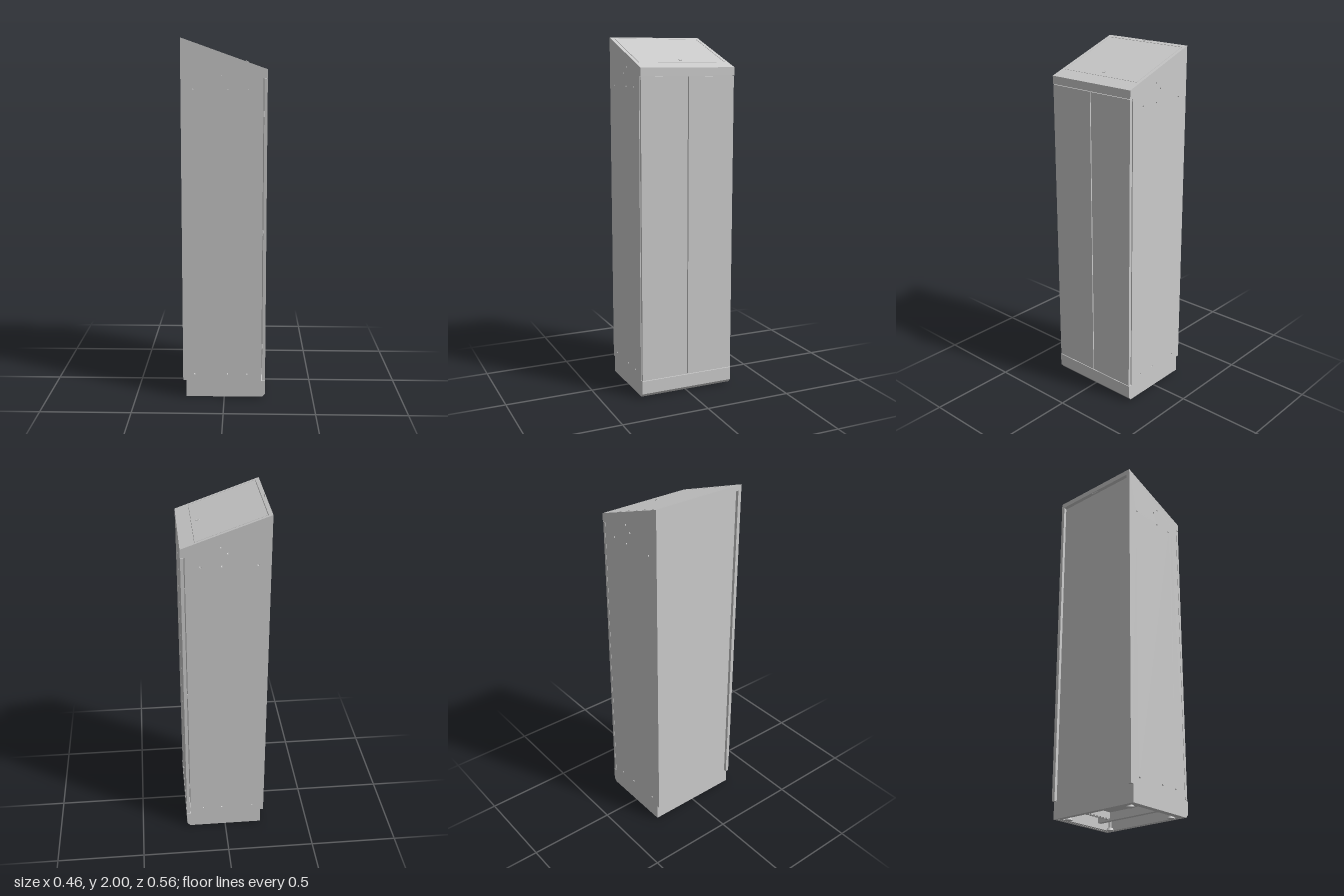
import * as THREE from 'three';

const mat = new THREE.MeshStandardMaterial({ color: 0xcccccc });
const BACK = -0.232, FRONT = 0.232, HALF = 0.278, INNER = 0.258;
const BODY_BACK = -0.215, BODY_FRONT = 0.209;

// Height of the sloping top at x
const topY = (x) => 2 - (x - BACK) * (0.165 / (FRONT - BACK));

export function createModel() {
  const model = new THREE.Group();

  const add = (name, geo, x = 0, y = 0, z = 0) => {
    const mesh = new THREE.Mesh(geo, mat);
    mesh.name = name;
    mesh.position.set(x, y, z);
    model.add(mesh);
    return mesh;
  };
  const box = (name, x0, x1, y0, y1, z0, z1) =>
    add(name, new THREE.BoxGeometry(x1 - x0, y1 - y0, z1 - z0),
      (x0 + x1) / 2, (y0 + y1) / 2, (z0 + z1) / 2);
  // Side profile (x, y) extruded from z0 to z1, with optional round holes
  const profile = (name, points, z0, z1, holes = []) => {
    const shape = new THREE.Shape(points.map(([x, y]) => new THREE.Vector2(x, y)));
    for (const [x, y] of holes) {
      shape.holes.push(new THREE.Path().absarc(x, y, 0.005, 0, Math.PI * 2, true));
    }
    const geo = new THREE.ExtrudeGeometry(shape, { depth: z1 - z0, bevelEnabled: false, curveSegments: 6 });
    return add(name, geo, 0, 0, z0);
  };
  // Flat plate lying on the slope, between x0 and x1
  const slopePlate = (name, x0, x1, half, thick, drop = 0) =>
    profile(name, [
      [x0, topY(x0) - drop - thick], [x1, topY(x1) - drop - thick],
      [x1, topY(x1) - drop], [x0, topY(x0) - drop],
    ], -half, half);

  // Side walls with drilled holes
  const wall = [
    [BODY_BACK, 0.005], [0.206, 0.005], [0.206, 0.1], [BODY_FRONT, 0.1], [BODY_FRONT, 1.79],
    [0.158, 1.79], [0.158, topY(0.158)], [BACK, 2], [BACK, 0.1], [BODY_BACK, 0.1],
  ];
  const holes = [[-0.01, 1.805], [0.025, 1.838]];
  for (const y of [0.14, 1.735]) for (const x of [-0.165, 0.02, 0.13]) holes.push([x, y]);
  profile('leftWall', wall, INNER, HALF, holes);
  profile('rightWall', wall, -HALF, -INNER, holes);

  // Cabinet body with recessed back panel
  profile('body', [
    [BODY_BACK, 0.085], [0.207, 0.085], [0.207, 1.8],
    [0.207, topY(0.207) - 0.016], [BODY_BACK, topY(BODY_BACK) - 0.016],
  ], -INNER, INNER);

  // Front fascia and nose of the sloping top
  profile('fascia', [
    [0.158, 1.79], [FRONT, 1.79], [FRONT, topY(FRONT)], [0.158, topY(0.158)],
  ], -HALF, HALF);

  // Rear strip of the top with a finger slot
  slopePlate('rearStripBack', BACK, -0.227, INNER, 0.03);
  slopePlate('rearStripFront', -0.224, -0.212, INNER, 0.03);
  for (const s of [-1, 1]) {
    const half = (INNER - 0.022) / 2;
    slopePlate('rearStripSide', -0.227, -0.224, half, 0.03).position.z += s * (0.022 + half);
  }

  // Sloping lid with lock
  slopePlate('lid', -0.209, 0.156, 0.255, 0.013);
  const lock = new THREE.Group();
  lock.name = 'lidLock';
  lock.position.set(0.122, topY(0.122), 0);
  lock.rotation.z = -Math.atan(0.165 / (FRONT - BACK));
  const ring = new THREE.Mesh(new THREE.TorusGeometry(0.009, 0.002, 8, 24).rotateX(Math.PI / 2), mat);
  ring.name = 'lockRing';
  ring.position.y = 0.002;
  const plug = new THREE.Mesh(new THREE.CylinderGeometry(0.007, 0.007, 0.006, 20), mat);
  plug.name = 'lockPlug';
  const key = new THREE.Mesh(new THREE.BoxGeometry(0.008, 0.002, 0.002), mat);
  key.name = 'lockKeyBar';
  key.position.y = 0.0035;
  lock.add(ring, plug, key);
  model.add(lock);

  // Pair of front doors and their hinges
  for (const s of [-1, 1]) {
    const [a, b] = s > 0 ? [0.003, 0.276] : [-0.276, -0.003];
    box('door', 0.214, FRONT - 0.001, 0.103, 1.787, a, b);
    for (const y of [0.3, 0.95, 1.6]) {
      add('hinge', new THREE.CylinderGeometry(0.003, 0.003, 0.03, 10), 0.211, y, s * 0.268);
    }
  }

  // Plinth: chamfered front, plain back, inward flanges
  profile('plinthFront', [
    [0.206, 0.005], [0.214, 0.005], [FRONT, 0.025], [FRONT, 0.1], [0.206, 0.1],
  ], -HALF, HALF);
  box('plinthBack', BODY_BACK, -0.205, 0.005, 0.1, -INNER, INNER);
  box('flangeFront', 0.19, 0.206, 0.006, 0.012, -INNER, INNER);
  box('flangeBack', -0.205, -0.185, 0.006, 0.012, -INNER, INNER);
  for (const s of [-1, 1]) box('flangeSide', -0.185, 0.19, 0.006, 0.012, s * 0.249 - 0.009, s * 0.249 + 0.009);

  // Underside bars, the lengthwise one with a toothed edge
  box('crossBar', 0.11, 0.135, 0.04, 0.085, -INNER, INNER);
  box('lengthBar', -0.205, 0.11, 0.05, 0.085, -0.185, -0.165);
  for (let i = 0; i < 12; i++) {
    const x = -0.19 + i * 0.025;
    box('barTooth', x, x + 0.012, 0.044, 0.05, -0.185, -0.165);
  }

  // Levelling feet
  for (const x of [-0.165, 0.165]) {
    for (const z of [-0.215, 0.215]) {
      add('footPad', new THREE.CylinderGeometry(0.015, 0.021, 0.014, 20), x, 0.007, z);
      add('footStem', new THREE.CylinderGeometry(0.008, 0.008, 0.075, 12), x, 0.05, z);
    }
  }
  return model;
}
